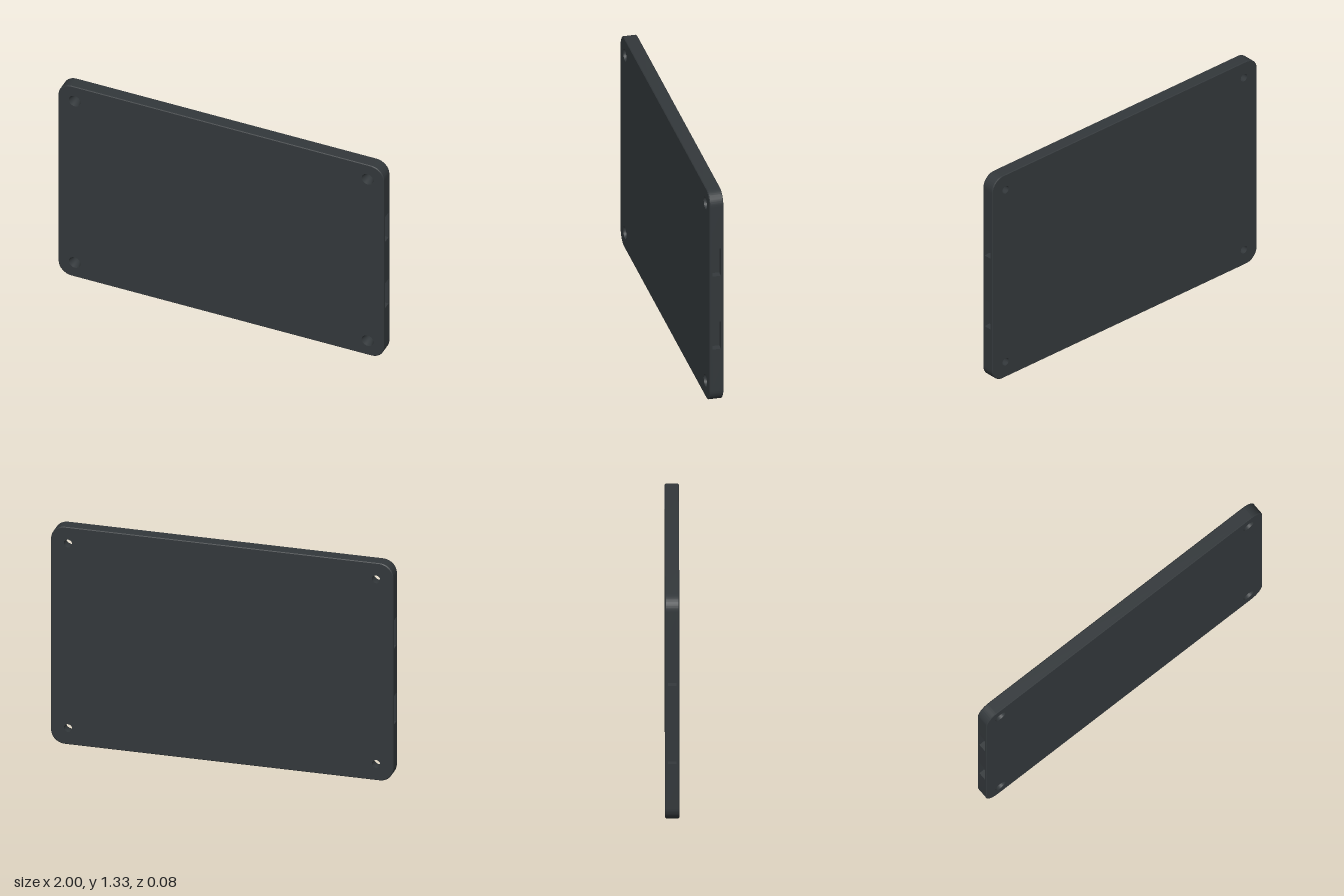
import * as THREE from 'three';
import { toCreasedNormals } from 'three/addons/utils/BufferGeometryUtils.js';

const W = 1, H = 0.667, R = 0.08;          // half width, half height, corner radius
const T = 0.04, SLOT = 0.024, EDGE = 0.004; // half thickness, slot half height, edge chamfer
const HOLE_X = 0.9, HOLE_Y = 0.567, R_BACK = 0.024, R_FRONT = 0.036;
const holes = [[1, 1], [1, -1], [-1, 1], [-1, -1]].map(([a, b]) => [a * HOLE_X, b * HOLE_Y]);

// Rounded rectangle with four screw holes, optionally notched along its edges
function plateShape(holeR, notched) {
  const s = new THREE.Shape();
  // sideways notch; (x, y) is the centre on the edge, (dx, dy) the walking direction
  const notch = (x, y, dx, dy) => {
    if (!notched) return;
    for (const [along, depth] of [[-0.087, 0], [-0.083, 0.035], [0.083, 0.035], [0.087, 0]])
      s.lineTo(x + dx * along - dy * depth, y + dy * along + dx * depth);
  };
  s.moveTo(-W + R, -H);
  for (const x of [-0.4, 0, 0.4]) notch(x, -H, 1, 0);
  s.lineTo(W - R, -H);
  s.absarc(W - R, -H + R, R, -Math.PI / 2, 0);
  for (const y of [-0.233, 0.233]) notch(W, y, 0, 1);
  s.absarc(W - R, H - R, R, 0, Math.PI / 2);
  s.absarc(-W + R, H - R, R, Math.PI / 2, Math.PI);
  for (const y of [0.233, -0.233]) notch(-W, y, 0, -1);
  s.absarc(-W + R, -H + R, R, Math.PI, Math.PI * 1.5);
  for (const [x, y] of holes)
    s.holes.push(new THREE.Path().absarc(x, y, holeR, 0, Math.PI * 2, true));
  return s;
}

export function createModel() {
  const group = new THREE.Group();
  const mat = new THREE.MeshStandardMaterial({ color: 0x33383b });

  // One layer of the plate from z0 to z1; chamferZ marks the face whose rim is drawn in
  function layer(name, z0, z1, holeR, notched, chamferZ) {
    const geo = new THREE.ExtrudeGeometry(plateShape(holeR, notched),
      { depth: z1 - z0, bevelEnabled: false, curveSegments: 16 });
    geo.translate(0, 0, z0);
    const p = geo.attributes.position;
    if (chamferZ !== undefined) for (let i = 0; i < p.count; i++) {
      const x = p.getX(i), y = p.getY(i);
      const rim = Math.abs(x) > 0.96 || Math.abs(y) > 0.62;
      if (rim && Math.abs(p.getZ(i) - chamferZ) < 1e-4)
        p.setXY(i, x * (1 - EDGE / W), y * (1 - EDGE / H));
    }
    const mesh = new THREE.Mesh(toCreasedNormals(geo, 0.5), mat);
    mesh.name = name;
    mesh.position.y = H;
    group.add(mesh);
  }
  layer('frontRim', T - EDGE, T, R_FRONT, false, T);
  layer('frontPanel', SLOT, T - EDGE, R_FRONT, false);
  layer('slottedCore', -SLOT, SLOT, R_FRONT, true);
  layer('backPanel', -T + EDGE, -SLOT, R_BACK, false);
  layer('backRim', -T, -T + EDGE, R_BACK, false, -T);

  // Countersunk linings of the screw holes
  const profile = [[R_FRONT, T], [R_BACK, 0], [R_BACK, -SLOT]].map(([r, z]) => new THREE.Vector2(r, z));
  const lining = new THREE.LatheGeometry(profile, 32).rotateX(Math.PI / 2);
  const liningMat = mat.clone();
  liningMat.side = THREE.DoubleSide;
  for (const [x, y] of holes) {
    const m = new THREE.Mesh(lining, liningMat);
    m.name = 'screwHole';
    m.position.set(x, y + H, 0);
    group.add(m);
  }
  return group;
}
